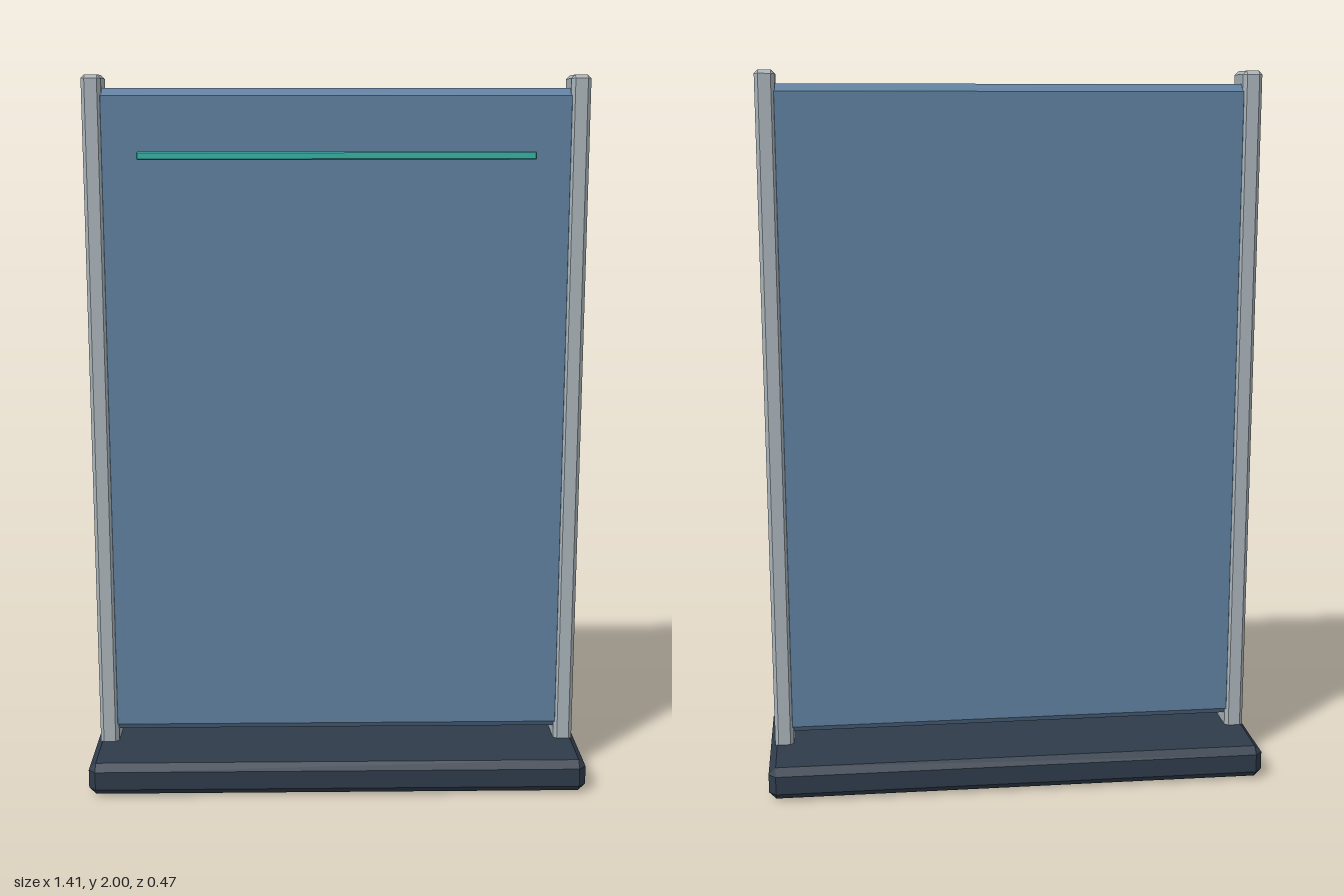
import * as THREE from 'three';
import { ConvexGeometry } from 'three/addons/geometries/ConvexGeometry.js';

// Box between two corners with every edge cut by a flat bevel
function bevelBox(name, color, min, max, bevel) {
  const half = max.map((v, i) => (v - min[i]) / 2);
  const points = [];
  for (const sx of [-1, 1]) for (const sy of [-1, 1]) for (const sz of [-1, 1]) {
    const sign = [sx, sy, sz];
    for (let axis = 0; axis < 3; axis++) {
      // each corner becomes three points, one lying on each adjoining face
      const p = half.map((h, i) => sign[i] * (i === axis ? h : h - bevel));
      points.push(new THREE.Vector3(...p));
    }
  }
  const material = new THREE.MeshStandardMaterial({ color, flatShading: true });
  const mesh = new THREE.Mesh(new ConvexGeometry(points), material);
  mesh.name = name;
  mesh.position.set(...min.map((v, i) => (v + max[i]) / 2));
  return mesh;
}

export function createModel() {
  const group = new THREE.Group();
  group.name = 'standingPanel';

  // Heavy foot
  group.add(bevelBox('base', 0x2f3b4a, [-0.705, 0.004, -0.235], [0.705, 0.096, 0.235], 0.02));

  // Upright posts, running down through the foot
  for (const side of [-1, 1]) {
    const post = bevelBox(side > 0 ? 'leftPost' : 'rightPost', 0xa8b2b8,
      [-0.027, 0, -0.056], [0.027, 2, 0.056], 0.01);
    post.position.x = side * 0.664;
    group.add(post);
  }

  // Screen panel, its ends held inside the posts
  group.add(bevelBox('panel', 0x5f7f9f, [-0.66, 0.127, -0.05], [0.66, 1.964, 0.05], 0.02));

  // Thin accent strip on the front
  group.add(bevelBox('accentStrip', 0x35b0a6, [-0.545, 1.773, 0.058], [0.545, 1.795, 0.07], 0.003));

  return group;
}
